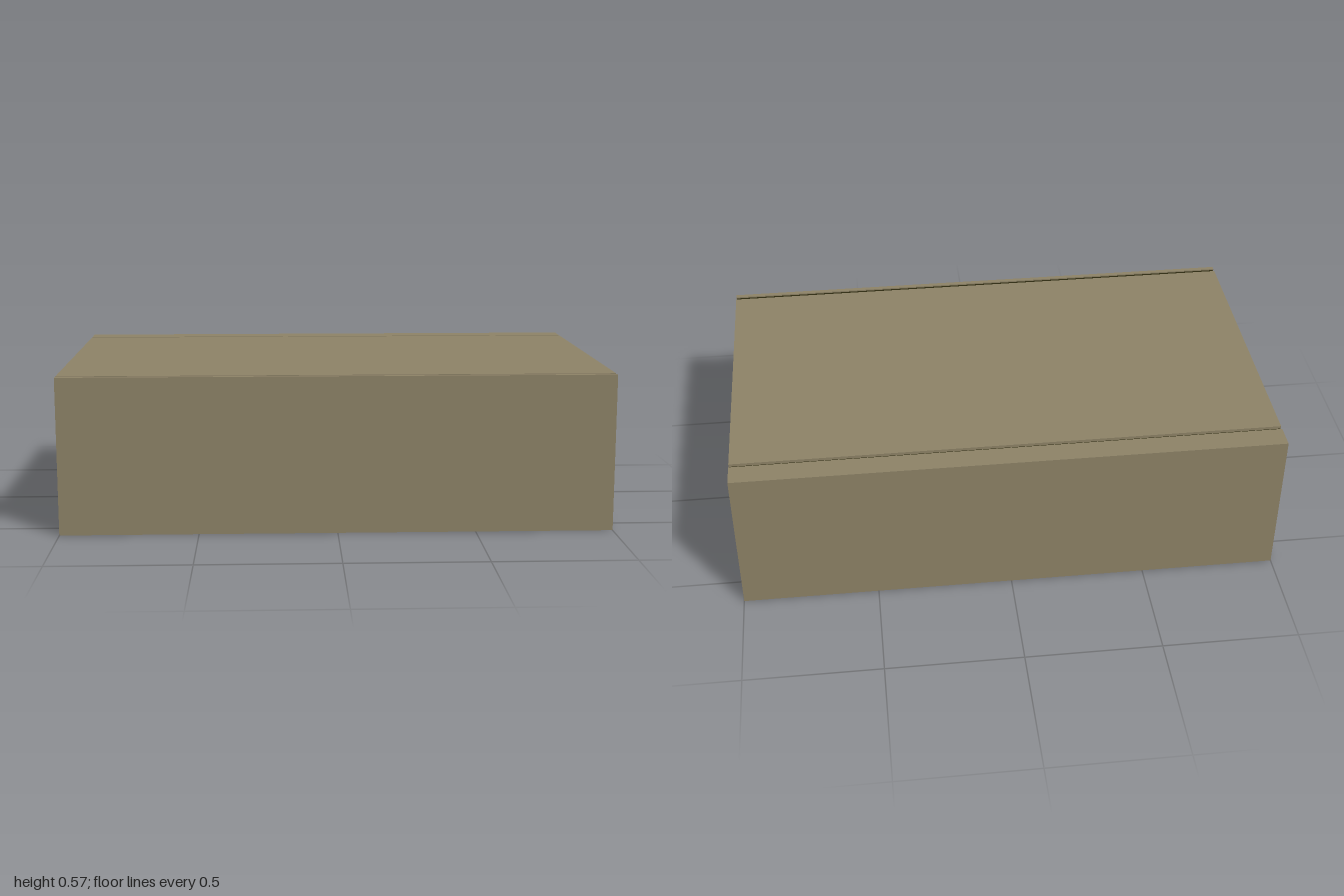
import * as THREE from 'three';

const W = 2, H = 0.572, D = 1.21;
const paint = new THREE.MeshStandardMaterial({ color: 0x8f8468 });
paint.name = 'khaki';
const dark = new THREE.MeshStandardMaterial({ color: 0x2d2a10 });
dark.name = 'darkOlive';

export function createModel() {
  const model = new THREE.Group();

  // Box spanning the given y and z ranges, centred on x
  const slab = (name, width, y0, y1, z0, z1, material) => {
    const mesh = new THREE.Mesh(new THREE.BoxGeometry(width, y1 - y0, z1 - z0), material);
    mesh.name = name;
    mesh.position.set(0, (y0 + y1) / 2, (z0 + z1) / 2);
    model.add(mesh);
    return mesh;
  };

  // Three case sections separated by narrow seams
  slab('frontPanel', W, 0, H, 0.588, D / 2, paint);
  slab('mainBody', W, 0, H, -0.502, 0.572, paint);
  slab('backPanel', W, 0, H, -D / 2, -0.518, paint);

  // Dark gaskets recessed in the seams
  slab('frontSeam', W - 0.006, 0.003, H - 0.005, 0.572, 0.588, dark);
  slab('backSeam', W - 0.006, 0.003, H - 0.011, -0.518, -0.502, dark);

  // Thin joint line across the underside
  const joint = slab('undersideJoint', 0.008, -0.0005, 0.001, -0.49, 0.56, dark);
  joint.position.x = -0.955;

  // Small screw heads on the underside
  for (const x of [0.9, -0.08]) {
    const screw = new THREE.Mesh(new THREE.CylinderGeometry(0.016, 0.016, 0.002, 8), dark);
    screw.name = 'undersideScrew';
    screw.position.set(x, 0.0005, 0);
    model.add(screw);
  }
  return model;
}
